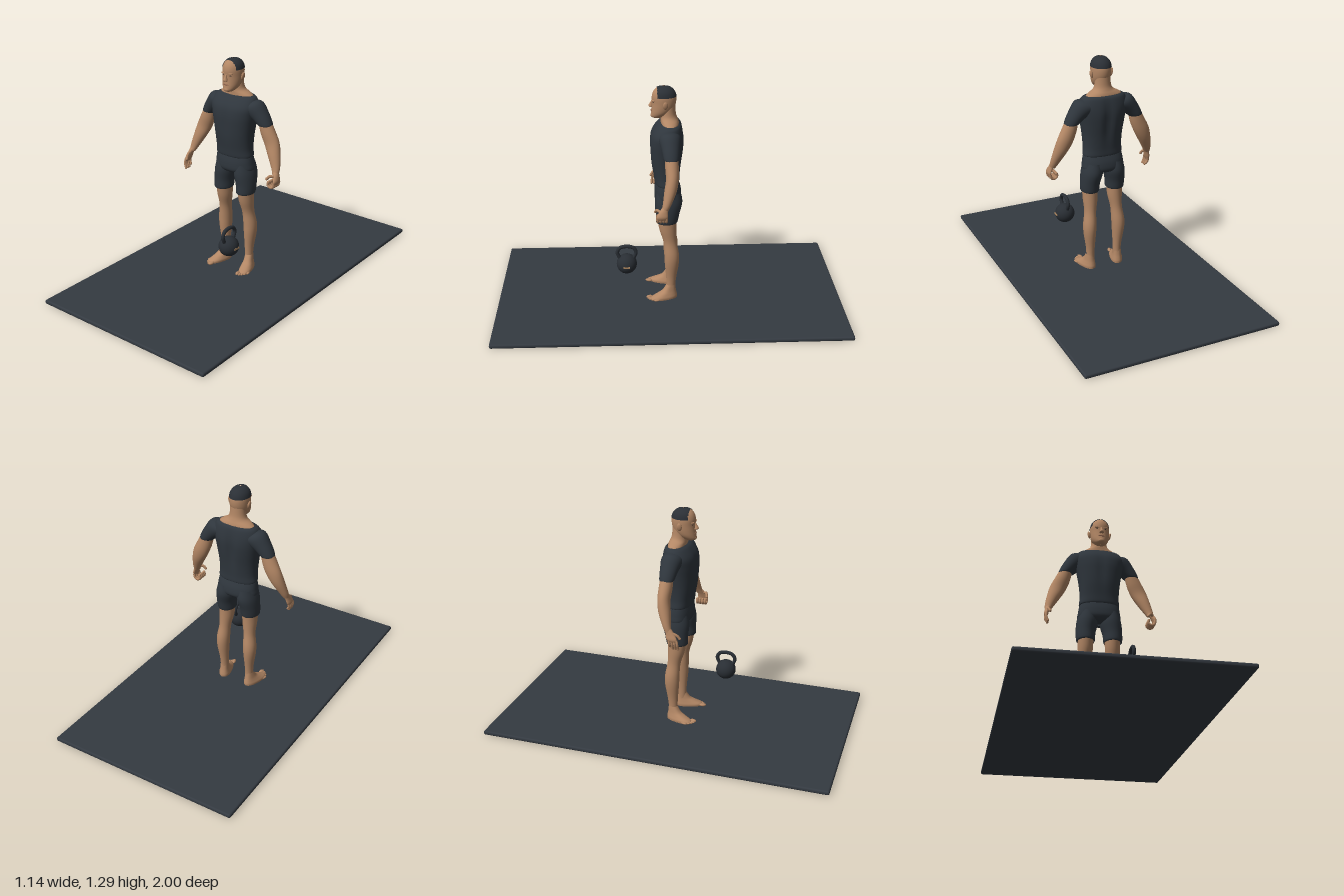
import * as THREE from 'three';
import { RoundedBoxGeometry } from 'three/addons/geometries/RoundedBoxGeometry.js';

const flat = (name, color, side = THREE.FrontSide) => {
  const m = new THREE.MeshStandardMaterial({ color, side });
  m.name = name;
  return m;
};
const V = (x, y, z) => new THREE.Vector3(x, y, z);

// Smooth body through elliptical sections listed from top to bottom.
// Row: [x, y, z, halfWidth, halfDepth, tilt]; power squares the section off.
function loft(rows, { power = 2, seg = 36, steps = 5, shape, keep } = {}) {
  const cols = [0, 1, 2, 3, 4, 5];
  const at = (i) => rows[Math.min(Math.max(i, 0), rows.length - 1)];
  const pos = [], index = [], n = (rows.length - 1) * steps;
  for (let k = 0; k <= n; k++) {
    const i = Math.min(Math.floor(k / steps), rows.length - 2), t = k / steps - i;
    const [x, y, z, a, b, tilt] = cols.map((c) => {
      const [p, q, r, s] = [-1, 0, 1, 2].map((d) => at(i + d)[c] || 0);
      return 0.5 * (2 * q + (r - p) * t + (2 * p - 5 * q + 4 * r - s) * t * t + (3 * q - p - 3 * r + s) * t * t * t);
    });
    for (let j = 0; j < seg; j++) {
      const w = (j / seg) * Math.PI * 2, c = Math.cos(w), s = Math.sin(w);
      const lx = Math.max(a, 0.001) * Math.sign(c) * Math.abs(c) ** (2 / power);
      const lz = Math.max(b, 0.001) * Math.sign(s) * Math.abs(s) ** (2 / power);
      const v = V(x + lx * Math.cos(tilt), y + lx * Math.sin(tilt), z + lz);
      if (shape) shape(v, lz / b);
      pos.push(v.x, v.y, v.z);
    }
  }
  for (let k = 0; k < n; k++) for (let j = 0; j < seg; j++) {
    const a = k * seg + j, b = k * seg + (j + 1) % seg, c = a + seg, d = b + seg;
    const mid = (o) => (pos[a * 3 + o] + pos[d * 3 + o]) / 2;
    if (!keep || keep(mid(0), mid(1), mid(2))) index.push(a, b, c, b, d, c);
  }
  const g = new THREE.BufferGeometry();
  g.setAttribute('position', new THREE.Float32BufferAttribute(pos, 3));
  g.setIndex(index);
  g.computeVertexNormals();
  return g;
}
const mirror = (rows, s) => rows.map(([x, y, z, a, b, t = 0]) => [x * s, y, z, a, b, t * s]);

export function createModel() {
  const model = new THREE.Group();
  const skin = flat('skin', 0xb38765);
  const cloth = flat('dark cloth', 0x2f363d, THREE.DoubleSide);
  const hairMat = flat('hair', 0x2b3036, THREE.DoubleSide);
  const matMat = flat('mat rubber', 0x343a41);
  const iron = flat('cast iron', 0x292e34);
  const lipMat = flat('lips', 0x8e624c);
  const eyeMat = flat('eyes', 0x4a3a31);
  const tan = flat('tan plate', 0xb18a62);

  const add = (name, geo, mat, parent = model) => {
    const m = new THREE.Mesh(geo, mat);
    m.name = name;
    parent.add(m);
    return m;
  };
  const blob = (name, mat, p, scale, parent = model) => {
    const m = add(name, new THREE.SphereGeometry(1, 16, 12), mat, parent);
    m.position.set(...p);
    m.scale.set(...scale);
    return m;
  };
  const finger = (name, pts, r) => {
    add(name, new THREE.TubeGeometry(new THREE.CatmullRomCurve3(pts), 12, r, 8), skin);
    const e = pts[pts.length - 1];
    blob(name + 'Tip', skin, [e.x, e.y, e.z], [r, r, r]);
  };

  // Exercise mat
  add('mat', new RoundedBoxGeometry(1.14, 0.025, 2, 3, 0.01), matMat).position.y = 0.0125;

  // Shirt body with chest and spine relief
  add('shirt', loft([
    [0, 1.087, -0.005, 0.105, 0.05], [0, 1.073, 0, 0.128, 0.068], [0, 1.03, 0.01, 0.145, 0.088],
    [0, 0.98, 0.013, 0.138, 0.095], [0, 0.92, 0.015, 0.127, 0.092], [0, 0.85, 0.017, 0.117, 0.084],
    [0, 0.78, 0.015, 0.113, 0.074], [0, 0.738, 0.013, 0.117, 0.07], [0, 0.73, 0.013, 0.111, 0.064],
  ], {
    power: 2.3, seg: 56, shape: (v, depth) => {
      const groove = Math.exp(-((v.x / 0.024) ** 2)) * Math.exp(-(((v.y - 0.94) / 0.11) ** 2));
      v.z -= Math.sign(depth) * (depth < 0 ? 0.014 : 0.006) * groove * Math.abs(depth);
    },
  }), cloth);

  // Shorts
  add('shortsHips', loft([
    [0, 0.738, 0.013, 0.11, 0.062], [0, 0.725, 0.012, 0.115, 0.067], [0, 0.69, 0.009, 0.121, 0.075],
    [0, 0.65, 0.007, 0.122, 0.074], [0, 0.628, 0.006, 0.08, 0.05], [0, 0.622, 0.006, 0.01, 0.01],
  ], { power: 2.3, seg: 48 }), cloth);

  for (const s of [1, -1]) {
    const side = s > 0 ? 'left' : 'right';
    add(side + 'Sleeve', loft(mirror([
      [0.075, 1.03, 0, 0.045, 0.055, 0.9], [0.122, 1.022, 0, 0.06, 0.06, 0.8],
      [0.165, 0.984, -0.003, 0.048, 0.05, 0.55], [0.195, 0.942, -0.005, 0.042, 0.042, 0.08],
      [0.194, 0.937, -0.005, 0.037, 0.037, 0.08],
    ], s)), cloth);
    add(side + 'ShortsLeg', loft(mirror([
      [0.064, 0.69, 0.005, 0.05, 0.068], [0.068, 0.63, 0.005, 0.061, 0.077], [0.077, 0.565, 0.011, 0.056, 0.067],
      [0.078, 0.517, 0.016, 0.053, 0.062], [0.077, 0.508, 0.016, 0.046, 0.056],
    ], s)), cloth);

    // Arm and leg
    add(side + 'Arm', loft(mirror([
      [0.188, 0.965, -0.005, 0.034, 0.035, 0.3], [0.212, 0.9, -0.007, 0.043, 0.037, 0.3],
      [0.239, 0.84, -0.008, 0.045, 0.035, 0.3], [0.264, 0.78, 0.003, 0.037, 0.034, 0.25],
      [0.289, 0.715, 0.022, 0.025, 0.024, 0.2], [0.298, 0.682, 0.035, 0.017, 0.02, 0.1],
    ], s)), skin);
    add(side + 'Leg', loft(mirror([
      [0.077, 0.53, 0.015, 0.044, 0.055], [0.078, 0.46, 0.01, 0.042, 0.048], [0.083, 0.385, -0.002, 0.034, 0.038],
      [0.09, 0.31, -0.011, 0.038, 0.042], [0.091, 0.25, -0.012, 0.036, 0.041], [0.087, 0.16, -0.009, 0.026, 0.03],
      [0.086, 0.1, -0.007, 0.023, 0.026], [0.087, 0.06, -0.008, 0.024, 0.03],
    ], s)), skin);
    blob(side + 'Kneecap', skin, [s * 0.083, 0.395, 0.02], [0.02, 0.026, 0.017]);

    // Foot turned outwards, with toes
    const foot = new THREE.Group();
    foot.name = side + 'Foot';
    foot.position.set(s * 0.088, 0, -0.008);
    foot.rotation.y = s * 0.28;
    model.add(foot);
    add(side + 'FootBody', loft([
      [0, 0.11, 0.001, 0.022, 0.025], [0, 0.075, 0.011, 0.026, 0.039], [0, 0.055, 0.026, 0.031, 0.058],
      [0, 0.038, 0.042, 0.036, 0.077], [0, 0.025, 0.044, 0.035, 0.078],
    ], { power: 2.4 }), skin, foot);
    for (let i = 0; i < 5; i++) {
      const r = i ? 0.0075 : 0.011;
      blob(side + 'Toe', skin, [s * (-0.025 + i * 0.0135), 0.025 + r * 0.8, 0.125 - i * i * 0.002], [r, r * 0.8, 0.02], foot);
    }
    blob(side + 'Ear', skin, [s * 0.061, 1.198, 0.022], [0.008, 0.023, 0.014]).rotation.z = -s * 0.2;
    blob(side + 'Eye', eyeMat, [s * 0.022, 1.207, 0.0855], [0.008, 0.0035, 0.005]);
    blob(side + 'Brow', skin, [s * 0.022, 1.217, 0.086], [0.017, 0.005, 0.009]).rotation.z = s * 0.12;
  }

  // Relaxed right hand
  add('rightPalm', loft(mirror([
    [0.296, 0.7, 0.031, 0.016, 0.018], [0.304, 0.67, 0.047, 0.013, 0.025],
    [0.31, 0.642, 0.058, 0.012, 0.03], [0.31, 0.622, 0.063, 0.004, 0.02],
  ], -1)), skin);
  for (let i = 0; i < 4; i++) {
    const z = 0.04 + i * 0.015, drop = i === 0 ? 0.012 : 0;
    finger('rightFinger', [V(-0.31, 0.64, z), V(-0.312, 0.615, z + 0.005), V(-0.303, 0.587 + drop, z + 0.008)], 0.007);
  }
  finger('rightThumb', [V(-0.303, 0.675, 0.06), V(-0.297, 0.662, 0.085), V(-0.292, 0.645, 0.098)], 0.008);

  // Left hand curled into a grip
  add('leftPalm', loft([
    [0.296, 0.7, 0.031, 0.016, 0.018], [0.308, 0.675, 0.043, 0.013, 0.025],
    [0.315, 0.65, 0.05, 0.011, 0.031], [0.313, 0.628, 0.05, 0.004, 0.024],
  ]), skin);
  for (let i = 0; i < 4; i++) {
    const z = 0.026 + i * 0.016;
    finger('leftFinger', [V(0.315, 0.646, z), V(0.308, 0.621, z), V(0.289, 0.615, z), V(0.274, 0.628, z), V(0.278, 0.645, z)], 0.0078);
  }
  finger('leftThumb', [V(0.304, 0.678, 0.06), V(0.288, 0.682, 0.078), V(0.273, 0.666, 0.085)], 0.008);

  // Neck and shoulder skin
  add('neck', loft([
    [0, 1.19, 0.006, 0.044, 0.04], [0, 1.14, 0.005, 0.047, 0.042], [0, 1.115, 0.002, 0.058, 0.046],
    [0, 1.098, -0.002, 0.088, 0.049], [0, 1.084, -0.004, 0.107, 0.05], [0, 1.07, -0.004, 0.1, 0.045],
  ]), skin);

  // Head, and a cropped cap of hair following it
  const headRows = [
    [0, 1.291, 0.03, 0.003, 0.004], [0, 1.284, 0.03, 0.028, 0.036], [0, 1.264, 0.029, 0.048, 0.057],
    [0, 1.235, 0.028, 0.056, 0.067], [0, 1.2, 0.028, 0.056, 0.066], [0, 1.17, 0.034, 0.053, 0.062],
    [0, 1.145, 0.045, 0.046, 0.054], [0, 1.125, 0.06, 0.033, 0.041], [0, 1.115, 0.066, 0.02, 0.026],
    [0, 1.112, 0.066, 0.002, 0.003],
  ];
  add('head', loft(headRows, { seg: 48 }), skin);
  add('hair', loft(headRows.map(([x, y, z, a, b]) => [x, y + 0.002, z, a + 0.002, b + 0.002]), {
    seg: 64, steps: 8, keep: (x, y, z) => y > 1.236 && z < 0.066,
  }), hairMat);
  add('nose', loft([
    [0, 1.218, 0.09, 0.004, 0.004], [0, 1.198, 0.097, 0.007, 0.009], [0, 1.184, 0.101, 0.012, 0.013],
    [0, 1.177, 0.099, 0.013, 0.01], [0, 1.173, 0.094, 0.004, 0.004],
  ], { seg: 16 }), skin);
  blob('lips', lipMat, [0, 1.156, 0.097], [0.019, 0.0035, 0.0045]);
  blob('chin', skin, [0, 1.128, 0.092], [0.018, 0.012, 0.011]);

  // Kettlebell hanging in front of the left leg
  const bell = new THREE.Group();
  bell.name = 'kettlebell';
  bell.position.set(0.137, 0.278, 0.248);
  model.add(bell);
  const profile = [new THREE.Vector2(0, -0.056)];
  for (let i = 0; i <= 20; i++) {
    const a = -1.25 + (i / 20) * (1.25 + Math.PI / 2);
    profile.push(new THREE.Vector2(Math.max(0, 0.058 * Math.cos(a)), 0.058 * Math.sin(a)));
  }
  add('kettlebellBody', new THREE.LatheGeometry(profile, 40), iron, bell);
  const half = [[0.03, 0.036], [0.072, 0.053], [0.1, 0.038]];
  const loop = [...half.map(([y, z]) => V(0, y, z)), V(0, 0.109, 0), ...half.reverse().map(([y, z]) => V(0, y, -z))];
  add('kettlebellHandle', new THREE.TubeGeometry(new THREE.CatmullRomCurve3(loop), 40, 0.0105, 14), iron, bell);
  add('kettlebellPlate', new THREE.BoxGeometry(0.008, 0.01, 0.038), tan, bell).position.x = 0.055;

  return model;
}
